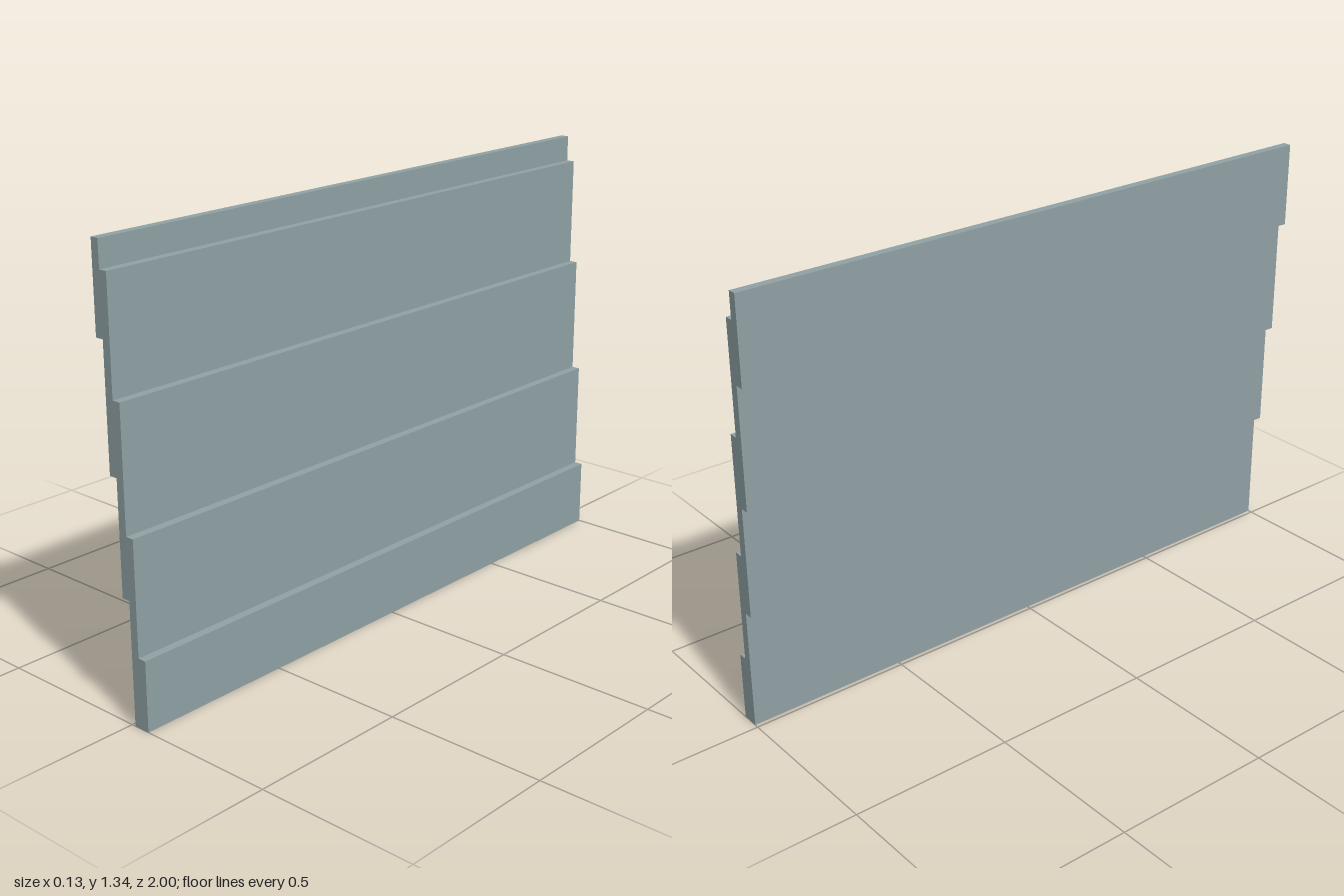
import * as THREE from 'three';

export function createModel() {
  const group = new THREE.Group();
  group.name = 'claddingPanel';

  const paint = new THREE.MeshStandardMaterial({ color: 0x90a1a5 });
  paint.name = 'greyBluePaint';

  // Overlapping boards from the foot up: [bottom, top]
  const boards = [[0, 0.212], [0, 0.555], [0.372, 0.924], [0.712, 1.263], [1.081, 1.343]];
  const thickness = 0.0264;

  boards.forEach(([bottom, top], i) => {
    const board = new THREE.Mesh(new THREE.BoxGeometry(thickness, top - bottom, 2), paint);
    board.name = i === 0 ? 'starterBoard' : `board${i}`;
    // Each board steps back by one thickness
    board.position.set((2 - i) * thickness, (bottom + top) / 2, 0);
    group.add(board);
  });

  return group;
}
